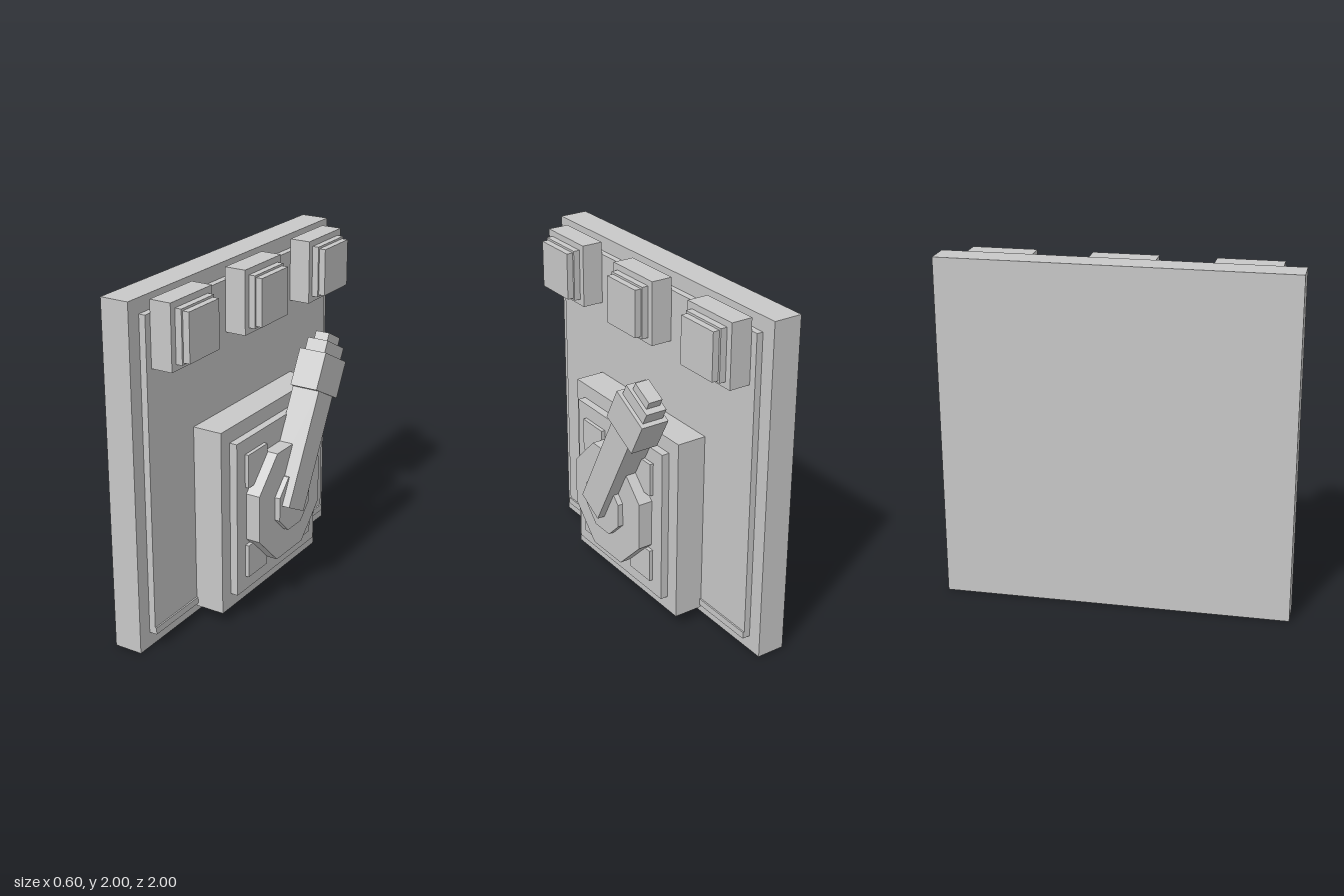
import * as THREE from 'three';

export function createModel() {
  const model = new THREE.Group();
  model.name = 'wallLever';
  const grey = new THREE.MeshStandardMaterial({ color: 0xc8c8c8 });
  grey.name = 'plain grey';

  // Box given by its limits along each axis
  function box(name, [x0, x1], [y0, y1], [z0, z1], parent = model) {
    const mesh = new THREE.Mesh(new THREE.BoxGeometry(x1 - x0, y1 - y0, z1 - z0), grey);
    mesh.position.set((x0 + x1) / 2, (y0 + y1) / 2, (z0 + z1) / 2);
    mesh.name = name;
    parent.add(mesh);
  }

  // Eight-sided plate facing +x: r is half its width, f half its flat side
  function octagon(name, x0, x1, y, r, f) {
    const corners = [[r, f], [f, r], [-f, r], [-r, f], [-r, -f], [-f, -r], [f, -r], [r, -f]];
    const shape = new THREE.Shape(corners.map(([a, b]) => new THREE.Vector2(a, b)));
    const geometry = new THREE.ExtrudeGeometry(shape, { depth: x1 - x0, bevelEnabled: false });
    geometry.rotateY(Math.PI / 2);
    const mesh = new THREE.Mesh(geometry, grey);
    mesh.position.set(x0, y, 0);
    mesh.name = name;
    model.add(mesh);
  }

  // Back panel, inner panel and lower ledge
  box('backPanel', [-0.3, -0.132], [0, 2], [-1, 1]);
  box('innerPanel', [-0.132, -0.094], [0.09, 1.915], [-0.913, 0.913]);
  box('lowerLedge', [-0.094, -0.085], [0.09, 0.13], [-0.913, 0.913]);

  // Three stepped buttons along the top
  for (const z of [-0.686, 0, 0.686]) {
    const button = new THREE.Group();
    button.name = 'button';
    model.add(button);
    box('buttonBase', [-0.094, 0.032], [1.62, 1.987], [z - 0.185, z + 0.185], button);
    box('buttonStep', [0.032, 0.07], [1.655, 1.952], [z - 0.147, z + 0.147], button);
    box('buttonCap', [0.07, 0.108], [1.666, 1.94], [z - 0.135, z + 0.135], button);
  }

  // Lever housing with four corner pads
  box('housing', [-0.094, 0.082], [0.073, 1.174], [-0.51, 0.51]);
  box('housingPlate', [0.082, 0.128], [0.162, 1.088], [-0.426, 0.426]);
  for (const y of [0.247, 0.802]) {
    for (const z of [-0.342, 0.145]) {
      box('cornerPad', [0.128, 0.15], [y, y + 0.198], [z, z + 0.197]);
    }
  }

  // Pivot discs
  octagon('pivotPlate', 0.128, 0.213, 0.618, 0.33, 0.14);
  octagon('pivotHub', 0.213, 0.245, 0.62, 0.165, 0.07);

  // Tilted lever, built upright from the middle of its lower end
  const lever = new THREE.Group();
  lever.name = 'lever';
  lever.position.set(0, 0.592, 0.059);
  lever.rotation.x = -0.488;
  model.add(lever);
  box('leverShaft', [0.122, 0.291], [0, 0.68], [-0.0915, 0.0915], lever);
  box('leverGrip', [0.128, 0.297], [0.677, 0.894], [-0.135, 0.135], lever);
  box('gripStep', [0.148, 0.275], [0.894, 0.966], [-0.108, 0.108], lever);
  box('gripTip', [0.168, 0.254], [0.966, 1.015], [-0.072, 0.072], lever);

  return model;
}
